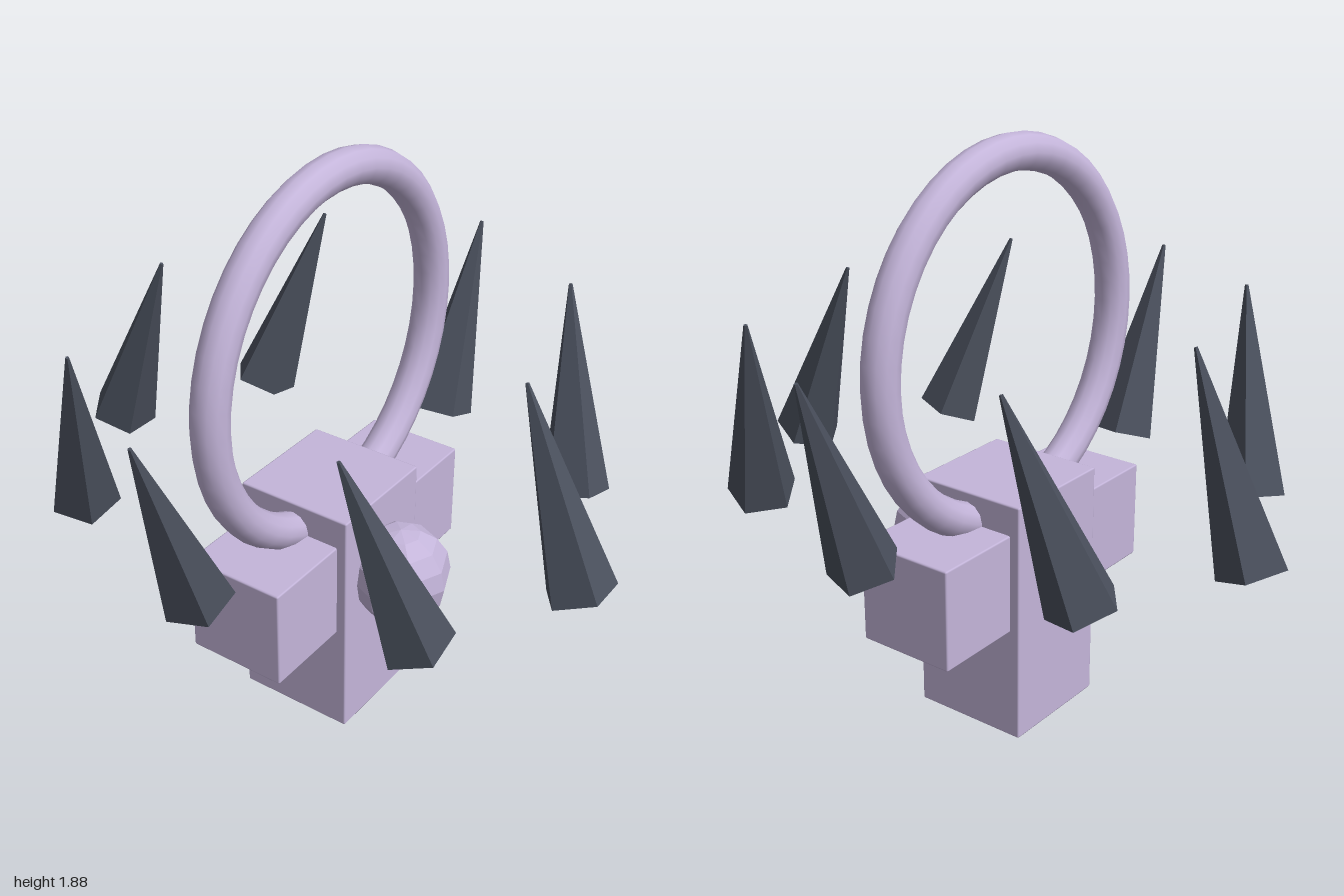
import * as THREE from 'three';
import { RoundedBoxGeometry } from 'three/addons/geometries/RoundedBoxGeometry.js';

export function createModel() {
  const model = new THREE.Group();
  const lavender = new THREE.MeshStandardMaterial({ color: 0xc4b5da });
  lavender.name = 'lavender';
  const slate = new THREE.MeshStandardMaterial({ color: 0x4a505d });
  slate.name = 'slate';
  const midZ = 0.01;

  function add(name, geometry, material, x, y, z) {
    const mesh = new THREE.Mesh(geometry, material);
    mesh.name = name;
    mesh.position.set(x, y, z);
    model.add(mesh);
    return mesh;
  }
  // Separate face normals give a faceted look
  function faceted(geometry) {
    const flat = geometry.toNonIndexed();
    flat.computeVertexNormals();
    return flat;
  }

  // Pillar body with a short cross block for the arms
  add('body', new RoundedBoxGeometry(0.4, 0.81, 0.4, 1, 0.006), lavender, 0, 0.405, midZ);
  for (const side of [-1, 1]) {
    add(side > 0 ? 'leftArm' : 'rightArm',
      new RoundedBoxGeometry(0.333, 0.333, 0.333, 1, 0.006), lavender, side * 0.335, 0.543, midZ);
  }

  // Faceted ball on the front
  add('ball', faceted(new THREE.SphereGeometry(0.166, 8, 8)), lavender, 0, 0.54, 0.28);

  // Upright hoop
  add('ring', new THREE.TorusGeometry(0.571, 0.058, 12, 48), lavender, 0, 1.25, midZ);

  // Circle of eight leaning five-sided spikes
  const spike = faceted(new THREE.CylinderGeometry(0.006, 0.113, 0.665, 5, 1, false, Math.PI));
  const count = 8, radius = 0.775, tilt = 0.345;
  for (let i = 0; i < count; i++) {
    const a = (i / count) * Math.PI * 2;
    const s = Math.sin(a), c = Math.cos(a);
    const mesh = add('spike' + (i + 1), spike, slate, s * radius, 1.05, c * radius + midZ);
    mesh.rotation.set(-c * tilt, 0, -s * tilt);
  }
  return model;
}
